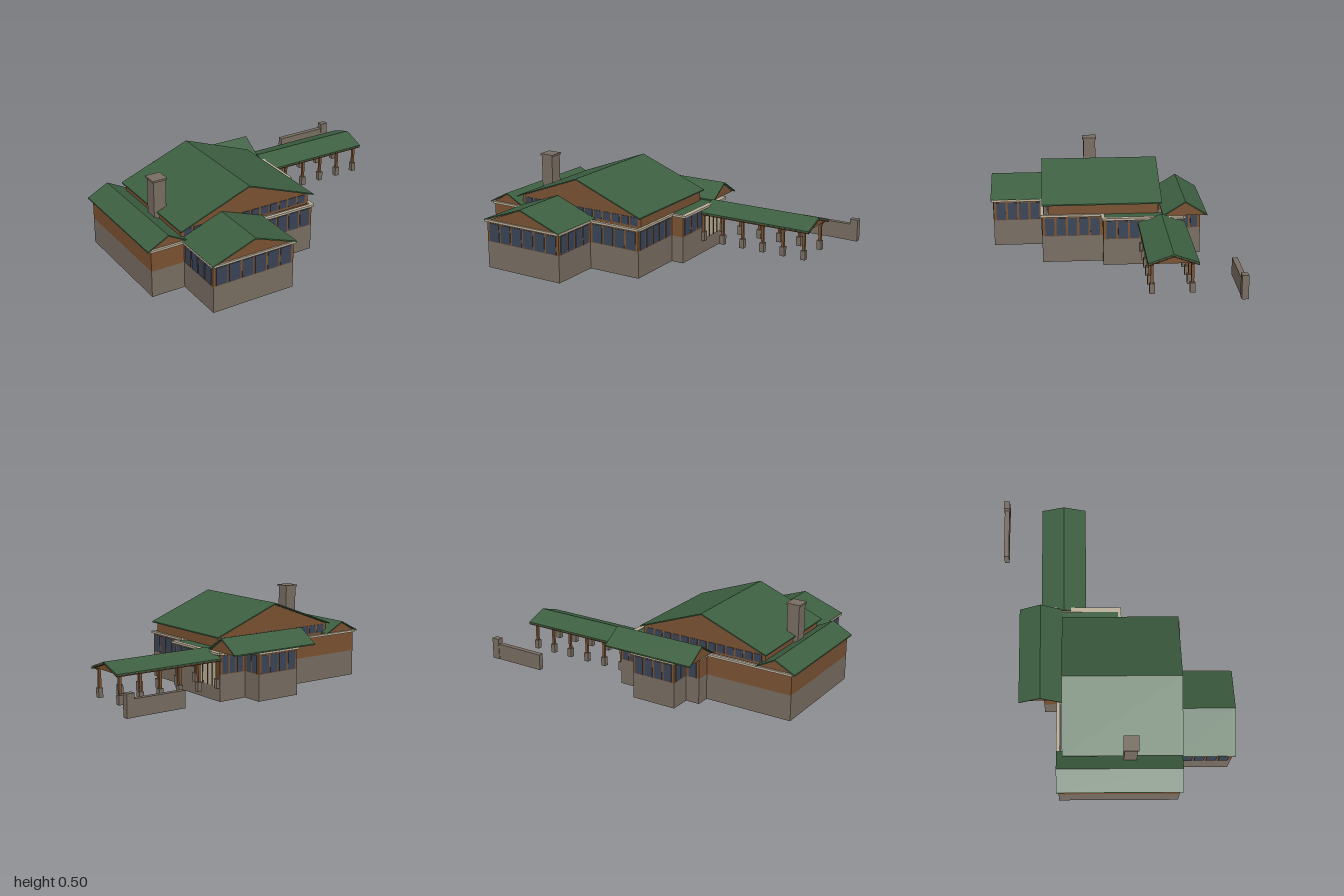
import * as THREE from 'three';

const mat = (name, color) => {
  const m = new THREE.MeshStandardMaterial({ color });
  m.name = name;
  return m;
};

export function createModel() {
  const stone = mat('stone', 0x786d62);
  const wood = mat('brown siding', 0x7a5232);
  const darkWood = mat('dark timber', 0x4a2f1b);
  const green = mat('green roofing', 0x3d5f41);
  const glass = mat('window glass', 0x3a4456);
  const trim = mat('beige trim', 0xb9ae98);

  const model = new THREE.Group();
  model.name = 'lodge';
  // the whole building stands at an angle to the frame
  const site = new THREE.Group();
  site.name = 'site';
  site.rotation.y = 0.745;
  model.add(site);

  const add = (parent, name, geo, material, x = 0, y = 0, z = 0) => {
    const mesh = new THREE.Mesh(geo, material);
    mesh.name = name;
    mesh.position.set(x, y, z);
    parent.add(mesh);
    return mesh;
  };
  // box given by its low and high corners
  const box = (parent, name, material, x0, x1, y0, y1, z0, z1) =>
    add(parent, name, new THREE.BoxGeometry(x1 - x0, y1 - y0, z1 - z0), material,
      (x0 + x1) / 2, (y0 + y1) / 2, (z0 + z1) / 2);

  // evenly spaced panes on a wall whose outer face is at z
  const panes = (parent, name, n, x0, x1, y0, y1, z) => {
    const step = (x1 - x0) / n, gap = 0.006;
    for (let i = 0; i < n; i++) {
      box(parent, name, glass, x0 + i * step + gap, x0 + (i + 1) * step - gap, y0, y1, z - 0.001, z + 0.003);
    }
  };

  const extrude = (points, depth) => {
    const shape = new THREE.Shape(points.map(([x, y]) => new THREE.Vector2(x, y)));
    return new THREE.ExtrudeGeometry(shape, { depth, bevelEnabled: false });
  };

  // outer walls: corner, then number of windows on the side leading to the next corner
  const outline = [
    [-0.76, 0.515, 0], [-0.575, 0.515, 4], [-0.575, 0.797, 6], [-0.11, 0.797, 4],
    [-0.11, 0.525, 4], [0.19, 0.525, 5], [0.19, 0.2, 0], [0.26, 0.2, 3],
    [0.26, -0.01, 0], [0.26, -0.22, 3], [0.093, -0.22, 2], [0.093, -0.34, 4],
    [-0.17, -0.34, 2], [-0.17, -0.22, 1], [-0.25, -0.22, 0], [-0.25, -0.14, 0],
    [-0.76, -0.14, 0],
  ];
  outline.forEach(([x0, z0, windows], i) => {
    const [x1, z1] = outline[(i + 1) % outline.length];
    const dx = x1 - x0, dz = z1 - z0, h = Math.hypot(dx, dz) / 2;
    const wall = new THREE.Group();
    wall.name = 'wall';
    wall.position.set((x0 + x1) / 2, 0, (z0 + z1) / 2);
    wall.rotation.y = Math.atan2(-dz, dx);
    site.add(wall);
    box(wall, 'stoneBase', stone, -h, h, 0, 0.145, -0.008, 0);
    box(wall, 'siding', wood, -h, h, 0.145, 0.26, -0.008, 0);
    const out = x0 > 0.25 ? 0.02 : 0.011;
    box(wall, 'eaveTrim', trim, -h - 0.008, h + 0.008, 0.255, 0.267, -0.008, out);
    if (windows) panes(wall, 'window', windows, -h + 0.01, h - 0.01, 0.149, 0.247, 0);
  });

  // gable roof along local z, with a triangular wall near each open end
  const gableRoof = (name, { x, z, length, half, eave, ridge, alongX = false, gables = [] }) => {
    const roof = new THREE.Group();
    roof.name = name;
    roof.position.set(x, 0, z);
    if (alongX) roof.rotation.y = Math.PI / 2;
    site.add(roof);
    const t = 0.007;
    const chevron = (drop) => extrude([[-half, eave - drop], [0, ridge - drop], [half, eave - drop],
      [half, eave - t - drop], [0, ridge - t - drop], [-half, eave - t - drop]], length);
    add(roof, name + 'Slopes', chevron(0), green, 0, 0, -length / 2);
    const k = 0.93;
    gables.forEach((side) => {
      const low = eave - 0.006, top = ridge - t;
      add(roof, 'gableWall', extrude([[-half * k, low], [half * k, low], [0, top]], 0.006), wood,
        0, 0, side * (length / 2 - 0.016) - 0.003);
    });
    return { roof, chevron };
  };

  gableRoof('mainRoof', { x: -0.198, z: 0.2025, length: 0.645, half: 0.397, eave: 0.325, ridge: 0.475 });
  gableRoof('sideWingRoof', { x: -0.666, z: 0.187, length: 0.678, half: 0.115, eave: 0.268, ridge: 0.328, gables: [-1, 1] });
  gableRoof('frontWingRoof', { x: -0.343, z: 0.652, length: 0.32, half: 0.242, eave: 0.268, ridge: 0.356, gables: [1] });
  gableRoof('backWingRoof', { x: -0.008, z: -0.238, length: 0.546, half: 0.119, eave: 0.273, ridge: 0.347, alongX: true, gables: [-1, 1] });

  // upper walls of the main hall with clerestory windows
  const hall = new THREE.Group();
  hall.name = 'upperHall';
  site.add(hall);
  const gableEnd = [[-0.38, 0.255], [0.38, 0.255], [0.38, 0.322], [0, 0.466], [-0.38, 0.322]];
  for (const [z, turn] of [[0.492, 0], [-0.1, Math.PI]]) {
    const end = new THREE.Group();
    end.name = 'hallGable';
    end.position.set(-0.198, 0, z);
    end.rotation.y = turn;
    hall.add(end);
    add(end, 'gableWall', extrude(gableEnd, 0.008), wood, 0, 0, -0.008);
    panes(end, 'clerestoryWindow', 13, -0.37, 0.37, 0.27, 0.315, 0);
  }
  for (const x of [-0.578, 0.182]) {
    box(hall, 'upperSideWall', wood, x - 0.004, x + 0.004, 0.255, 0.322, -0.1, 0.492);
  }
  box(site, 'entryFlatRoof', green, 0.18, 0.262, 0.257, 0.264, -0.22, 0.2);

  // chimney from the ground up
  box(site, 'chimney', stone, -0.612, -0.542, 0, 0.495, 0.208, 0.278);
  box(site, 'chimneyCap', stone, -0.618, -0.536, 0.495, 0.505, 0.202, 0.284);

  // entrance under the covered walk
  box(site, 'entrancePanel', trim, 0.259, 0.264, 0.08, 0.235, -0.205, -0.02);
  for (const z of [-0.155, -0.115, -0.07]) {
    box(site, 'entranceFrame', darkWood, 0.263, 0.267, 0.08, 0.235, z - 0.003, z + 0.003);
  }

  // covered walk: roof, timber soffit and two rows of posts
  const walk = gableRoof('walkRoof', { x: 0.58, z: -0.11, length: 0.64, half: 0.125, eave: 0.237, ridge: 0.281, alongX: true, gables: [1] });
  add(walk.roof, 'walkSoffit', walk.chevron(0.0072), darkWood, 0, 0, -0.32);
  for (const z of [-0.205, -0.007]) {
    box(site, 'walkBeam', darkWood, 0.265, 0.885, 0.222, 0.234, z - 0.006, z + 0.006);
    for (let i = 0; i < 6; i++) {
      const x = 0.867 - 0.12 * i;
      box(site, 'postBase', stone, x - 0.013, x + 0.013, 0.074, 0.124, z - 0.013, z + 0.013);
      box(site, 'post', wood, x - 0.007, x + 0.007, 0.124, 0.228, z - 0.007, z + 0.007);
    }
  }

  // free-standing entrance wall with its end pillar
  box(site, 'roadsideWall', stone, 0.645, 0.945, 0.074, 0.165, -0.46, -0.432);
  box(site, 'roadsidePillar', stone, 0.94, 0.984, 0.074, 0.195, -0.463, -0.429);

  return model;
}
